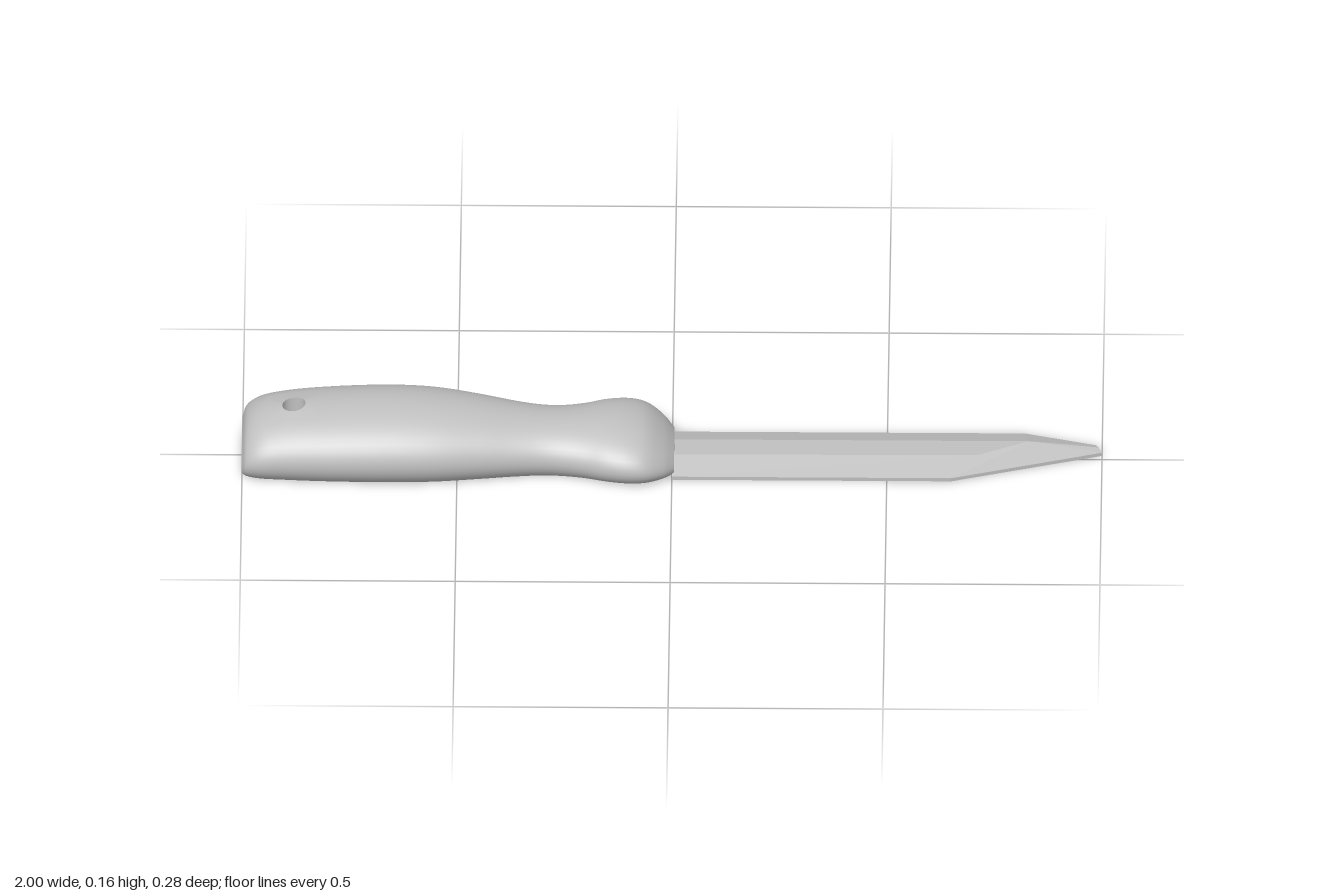
import * as THREE from 'three';

const steel = new THREE.MeshStandardMaterial({ color: 0xc0c0c0 });
steel.name = 'plainGrey';

// Handle stations: x, top height, half width
const STATIONS = [
  [-1, 0.075, 0.095], [-0.99, 0.105, 0.112], [-0.96, 0.128, 0.125], [-0.9, 0.144, 0.132],
  [-0.8, 0.154, 0.139], [-0.65, 0.16, 0.142], [-0.55, 0.156, 0.137], [-0.45, 0.143, 0.122],
  [-0.36, 0.127, 0.107], [-0.3, 0.119, 0.101], [-0.25, 0.116, 0.104], [-0.2, 0.117, 0.115],
  [-0.15, 0.12, 0.132], [-0.1, 0.117, 0.14], [-0.06, 0.106, 0.135], [-0.02, 0.077, 0.11],
  [0, 0.056, 0.087], [0.005, 0.05, 0.08],
];
const RINGS = 85, ARC = 32, START = -Math.asin(2 / 3);
const HOLE = { x: -0.88, r: 0.027 };

function makeGeometry(positions, index) {
  const g = new THREE.BufferGeometry();
  g.setAttribute('position', new THREE.Float32BufferAttribute(positions, 3));
  if (index) g.setIndex(index);
  g.computeVertexNormals();
  return g;
}

// Flat-shaded polygons, corners counter-clockwise from outside
function facets(polygons) {
  const p = [];
  for (const f of polygons)
    for (let k = 1; k < f.length - 1; k++) p.push(...f[0], ...f[k], ...f[k + 1]);
  return makeGeometry(p);
}

function add(group, name, geometry) {
  const mesh = new THREE.Mesh(geometry, steel);
  mesh.name = name;
  group.add(mesh);
}

function createHandle() {
  const group = new THREE.Group();
  group.name = 'handle';
  const curve = new THREE.CatmullRomCurve3(STATIONS.map((s) => new THREE.Vector3(...s)));
  const rings = Array.from({ length: RINGS + 1 }, (_, i) => curve.getPoint(i / RINGS));

  // Each section is an ellipse cut flat at the ground
  const section = ({ x, y: top, z: width }) => Array.from({ length: ARC + 1 }, (_, j) => {
    const a = START + (Math.PI - 2 * START) * j / ARC;
    return [x, Math.max(0, top * (0.4 + 0.6 * Math.sin(a))), width * Math.cos(a)];
  });
  const sections = rings.map(section);
  const heightAt = (x, z) => {
    const i = rings.findIndex((r) => r.x > x);
    const a = rings[i - 1], b = rings[i];
    const r = a.clone().lerp(b, (x - a.x) / (b.x - a.x));
    return r.y * (0.4 + 0.6 * Math.sqrt(1 - (z / r.z) ** 2));
  };

  // Skin, leaving a patch open around the hanging hole
  const i0 = rings.findIndex((r) => r.x > HOLE.x - 0.06);
  const i1 = rings.findIndex((r) => r.x > HOLE.x + 0.05);
  const j0 = ARC / 2 - 3, j1 = ARC / 2 + 3;
  const id = (i, j) => i * (ARC + 1) + j;
  const pos = sections.flat(2), index = [];
  const quad = (a, b, c, d) => index.push(a, b, c, a, c, d);
  for (let i = 0; i < RINGS; i++)
    for (let j = 0; j < ARC; j++) {
      if (i >= i0 && i < i1 && j >= j0 && j < j1) continue;
      quad(id(i, j), id(i + 1, j), id(i + 1, j + 1), id(i, j + 1));
    }

  // Join the patch border to the round rim
  const border = [];
  for (let i = i0; i < i1; i++) border.push(id(i, j0));
  for (let j = j0; j < j1; j++) border.push(id(i1, j));
  for (let i = i1; i > i0; i--) border.push(id(i, j1));
  for (let j = j1; j > j0; j--) border.push(id(i0, j));
  const n = border.length, base = pos.length / 3;
  const rim = border.map((v) => {
    const a = Math.atan2(pos[v * 3 + 2], pos[v * 3] - HOLE.x);
    const x = HOLE.x + HOLE.r * Math.cos(a), z = HOLE.r * Math.sin(a);
    return [x, heightAt(x, z), z];
  });
  pos.push(...rim.flat());
  for (let k = 0; k < n; k++) {
    const m = (k + 1) % n;
    quad(border[k], border[m], base + m, base + k);
  }
  add(group, 'grip', makeGeometry(pos, index));

  // Hole wall
  const wall = [], wallIndex = [];
  rim.forEach(([x, y, z], k) => {
    const m = (k + 1) % n;
    wall.push(x, y, z, x, 0, z);
    wallIndex.push(2 * m, 2 * m + 1, 2 * k + 1, 2 * m, 2 * k + 1, 2 * k);
  });
  add(group, 'hangingHole', makeGeometry(wall, wallIndex));

  // Flat ends
  add(group, 'handleEnds', facets([sections[0], [...sections[RINGS]].reverse()]));

  // Flat underside with the hole through it
  const outline = [
    ...sections.map((s) => new THREE.Vector2(s[0][0], s[0][2])),
    ...[...sections].reverse().map((s) => new THREE.Vector2(s[ARC][0], s[ARC][2])),
  ];
  const shape = new THREE.Shape(outline);
  shape.holes.push(new THREE.Path().absarc(HOLE.x, 0, HOLE.r, 0, Math.PI * 2, true));
  add(group, 'handleUnderside', new THREE.ShapeGeometry(shape, 24).rotateX(Math.PI / 2));
  return group;
}

function createBlade() {
  const group = new THREE.Group();
  group.name = 'blade';
  // Rim corners, then the raised flat along the middle
  const f0 = [0, 0.009, 0.09], f1 = [0.65, 0.009, 0.09], tip = [1, 0.009, -0.015];
  const b2 = [0.985, 0.009, -0.045], b1 = [0.82, 0.009, -0.09], b0 = [0, 0.009, -0.09];
  const r0 = [0, 0.03, -0.03], r1 = [0.83, 0.03, -0.03], r2 = [0.71, 0.03, 0.027];
  const r3 = [0, 0.03, 0.03], rTip = [0.992, 0.013, -0.03];
  add(group, 'bladeTop', facets([
    [r3, r2, r1, r0],
    [r0, r1, b1, b0],
    [r1, rTip, b2, b1],
    [f0, f1, r2, r3],
    [r1, r2, f1, tip, rTip],
    [tip, b2, rTip],
  ]));
  const rim = [f0, f1, tip, b2, b1, b0];
  const floor = rim.map(([x, , z]) => [x, 0, z]);
  const sides = rim.map((p, k) => {
    const m = (k + 1) % rim.length;
    return [floor[k], floor[m], rim[m], p];
  });
  add(group, 'bladeEdges', facets(sides));
  add(group, 'bladeUnderside', facets([[...floor].reverse()]));
  return group;
}

export function createModel() {
  const model = new THREE.Group();
  model.name = 'knife';
  model.add(createHandle(), createBlade());
  return model;
}
